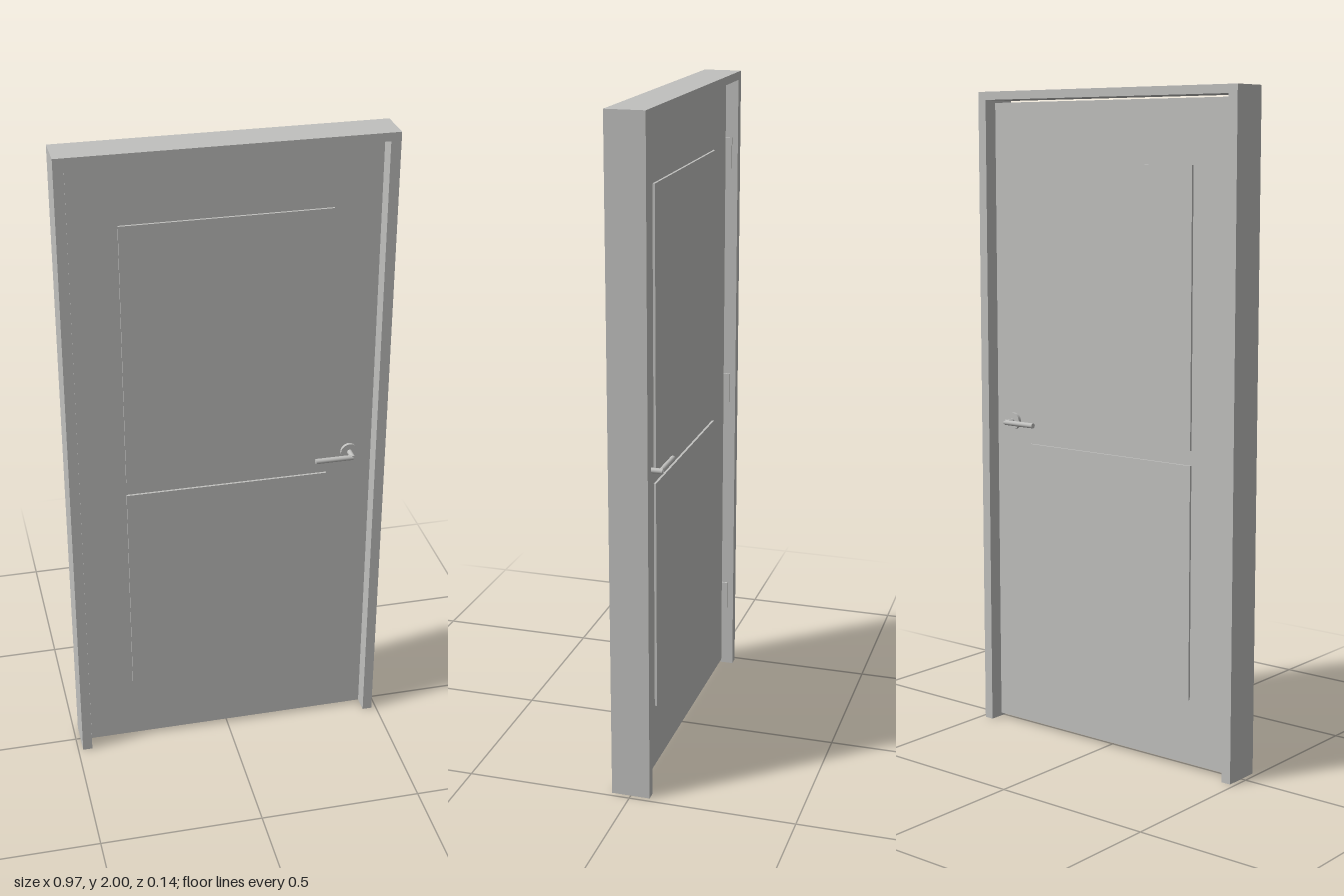
import * as THREE from 'three';

export function createModel() {
  const model = new THREE.Group();
  const grey = new THREE.MeshStandardMaterial({ color: 0xc0c0be });
  grey.name = 'light grey';

  const add = (name, geometry, x, y, z, parent = model) => {
    const mesh = new THREE.Mesh(geometry, grey);
    mesh.name = name;
    mesh.position.set(x, y, z);
    parent.add(mesh);
    return mesh;
  };
  const box = (name, x0, x1, y0, y1, z0, z1) => add(name,
    new THREE.BoxGeometry(x1 - x0, y1 - y0, z1 - z0),
    (x0 + x1) / 2, (y0 + y1) / 2, (z0 + z1) / 2);

  // Frame: two jambs and a head in one piece, open at the bottom
  const W = 0.485, IN = 0.455, D = 0.116;
  const outline = new THREE.Shape([
    [-W, 0], [-IN, 0], [-IN, 1.975], [IN, 1.975],
    [IN, 0], [W, 0], [W, 2], [-W, 2],
  ].map(([x, y]) => new THREE.Vector2(x, y)));
  add('frame', new THREE.ExtrudeGeometry(outline, { depth: D, bevelEnabled: false }), 0, 0, -D / 2);

  // Door leaf, with a small gap to the frame
  const face = 0.02;
  box('doorLeaf', -0.45, 0.45, 0.012, 1.967, -face, face);

  // Hinges in the gap, showing on the back
  for (const y of [0.25, 0.985, 1.75]) {
    box('hinge', -0.456, -0.449, y - 0.048, y + 0.048, -0.04, 0.017);
  }

  // Raised panels and a lever handle on each side
  for (const s of [1, -1]) {
    for (const [y0, y1] of [[0.21, 0.916], [0.96, 1.78]]) {
      const zs = [s * (face - 0.002), s * (face + 0.007)].sort((a, b) => a - b);
      box(s > 0 ? 'frontPanel' : 'backPanel', -0.31, 0.31, y0, y1, zs[0], zs[1]);
    }

    const handle = new THREE.Group();
    handle.name = s > 0 ? 'frontHandle' : 'backHandle';
    handle.position.set(0.38, 0.982, 0);
    model.add(handle);
    const rose = add('rose', new THREE.CylinderGeometry(0.026, 0.026, 0.01, 32), 0, 0, s * (face + 0.005), handle);
    rose.rotation.x = Math.PI / 2;
    const neck = add('neck', new THREE.CylinderGeometry(0.008, 0.008, 0.05, 20), 0.001, 0, s * (face + 0.025), handle);
    neck.rotation.x = Math.PI / 2;
    const lever = add('lever', new THREE.CylinderGeometry(0.008, 0.008, 0.117, 20), -0.057, 0, s * 0.064, handle);
    lever.rotation.z = Math.PI / 2;
  }
  return model;
}
